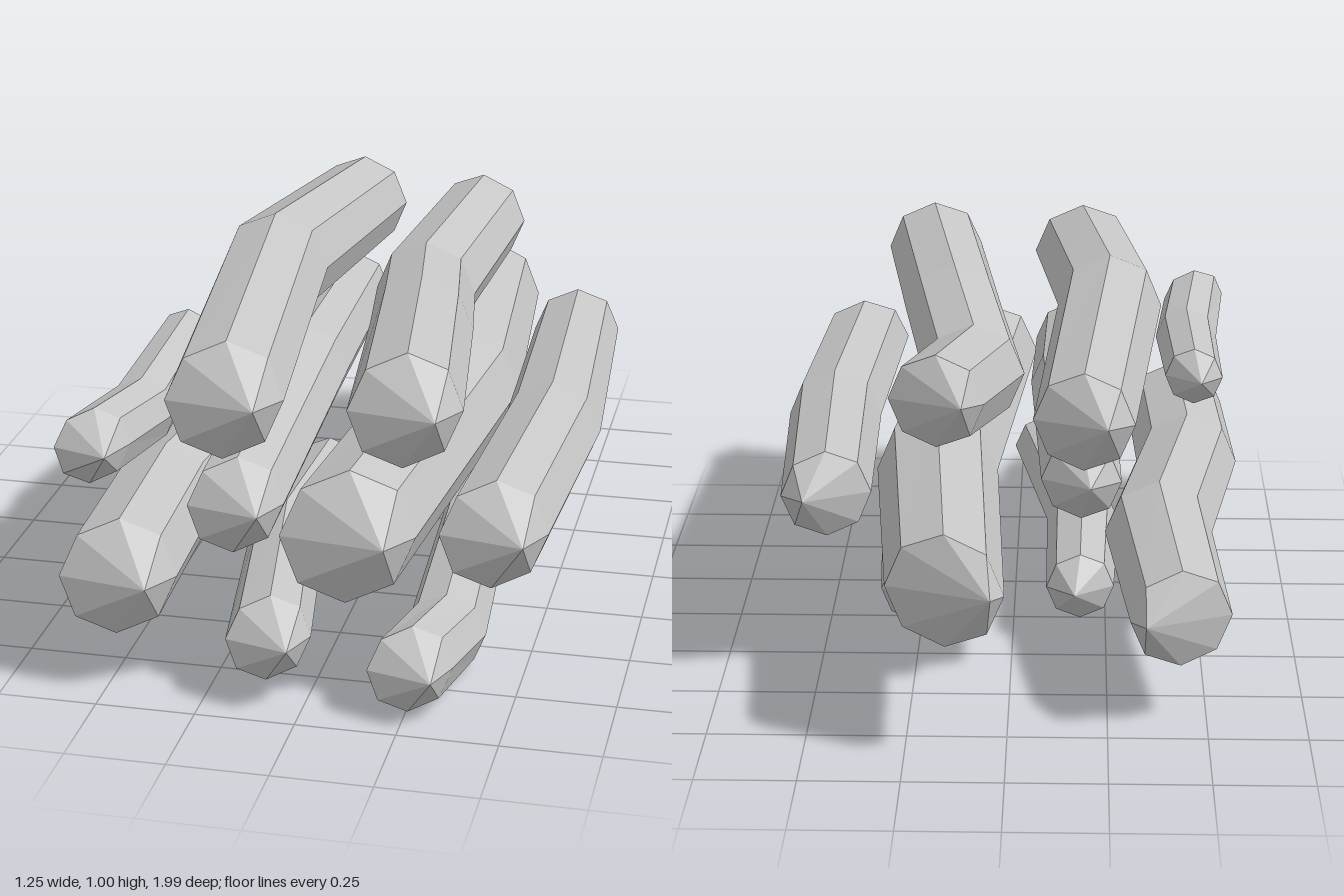
import * as THREE from 'three';

const SIDES = 8;
const FRONT_Z = 0.91; // all logs are lined up at the front
const TIP = 0.08;     // how far the pointed ends stick out

// Bent faceted prism through the given centres; each end closes to a point near its rim.
// backLean: side of the rear point, from -1 (right) to 1 (left)
function logGeometry(radius, backLean, centres) {
  const end = centres.length - 1;
  const rings = centres.map(([x, y, z], k) =>
    Array.from({ length: SIDES }, (_, i) => {
      const a = (i / SIDES) * Math.PI * 2;
      const r = k === 0 ? radius * 0.9 : radius;
      // Slanted cuts at both ends
      const slant = k === 0 ? -0.03 * backLean * Math.cos(a)
        : k === end ? -0.04 * Math.cos(a - Math.PI / 4) : 0;
      return [x + Math.cos(a) * r, y + Math.sin(a) * r, z + slant];
    }));
  const tip = ([x, y, z], lean, dz) => [x + lean * radius, y + 0.05 * radius, z + dz];
  const back = tip(centres[0], 0.7 * backLean, -TIP);
  const front = tip(centres[end], 0.65, TIP);

  const positions = [];
  const tri = (a, b, c) => positions.push(...a, ...b, ...c);
  for (let i = 0; i < SIDES; i++) {
    const j = (i + 1) % SIDES;
    for (let k = 0; k < end; k++) {
      const p = rings[k], q = rings[k + 1];
      tri(p[i], p[j], q[j]);
      tri(p[i], q[j], q[i]);
    }
    tri(back, rings[0][j], rings[0][i]);
    tri(front, rings[end][i], rings[end][j]);
  }
  const geometry = new THREE.BufferGeometry();
  geometry.setAttribute('position', new THREE.Float32BufferAttribute(positions, 3));
  geometry.computeVertexNormals();
  return geometry;
}

export function createModel() {
  const group = new THREE.Group();
  group.name = 'logBundle';
  const grey = new THREE.MeshStandardMaterial({ color: 0xc6c6c6, flatShading: true });
  grey.name = 'grey';

  // Front centre (x, y), then the back centre and bends from back to front
  const addLog = (name, radius, backLean, frontX, frontY, ...centres) => {
    const path = [...centres, [frontX, frontY, FRONT_Z]];
    const mesh = new THREE.Mesh(logGeometry(radius, backLean, path), grey);
    mesh.name = name;
    group.add(mesh);
  };

  // Upper logs
  addLog('centerLog', 0.16, -1, 0.113, 0.47, [0.145, 0.465, -0.92], [0.2, 0.47, -0.1]);
  addLog('rightLog', 0.126, 0.6, 0.465, 0.51, [0.465, 0.53, -0.45], [0.498, 0.508, 0.23]);
  addLog('topLeftLog', 0.138, -0.6, -0.182, 0.795, [-0.185, 0.8, -0.66], [-0.253, 0.86, 0.12]);
  addLog('topRightLog', 0.133, -0.7, 0.252, 0.805, [0.18, 0.81, -0.54], [0.103, 0.738, -0.1], [0.17, 0.785, 0.3]);
  addLog('innerLog', 0.112, -0.3, -0.16, 0.528, [-0.18, 0.59, -0.5], [-0.155, 0.615, 0.2]);
  addLog('smallUpperLeftLog', 0.086, -0.3, -0.512, 0.65, [-0.485, 0.65, 0.15], [-0.48, 0.62, 0.6]);

  // Lower logs
  addLog('lowerLeftLog', 0.141, 0.9, -0.46, 0.31, [-0.43, 0.3, -0.69], [-0.385, 0.335, -0.2], [-0.48, 0.31, 0.41]);
  addLog('bottomLog', 0.1, 0.2, -0.085, 0.182, [-0.18, 0.165, -0.17], [-0.187, 0.172, 0.3]);
  addLog('bottomRightLog', 0.101, -0.3, 0.266, 0.135, [0.26, 0.15, -0.17], [0.302, 0.102, 0.63]);
  return group;
}
